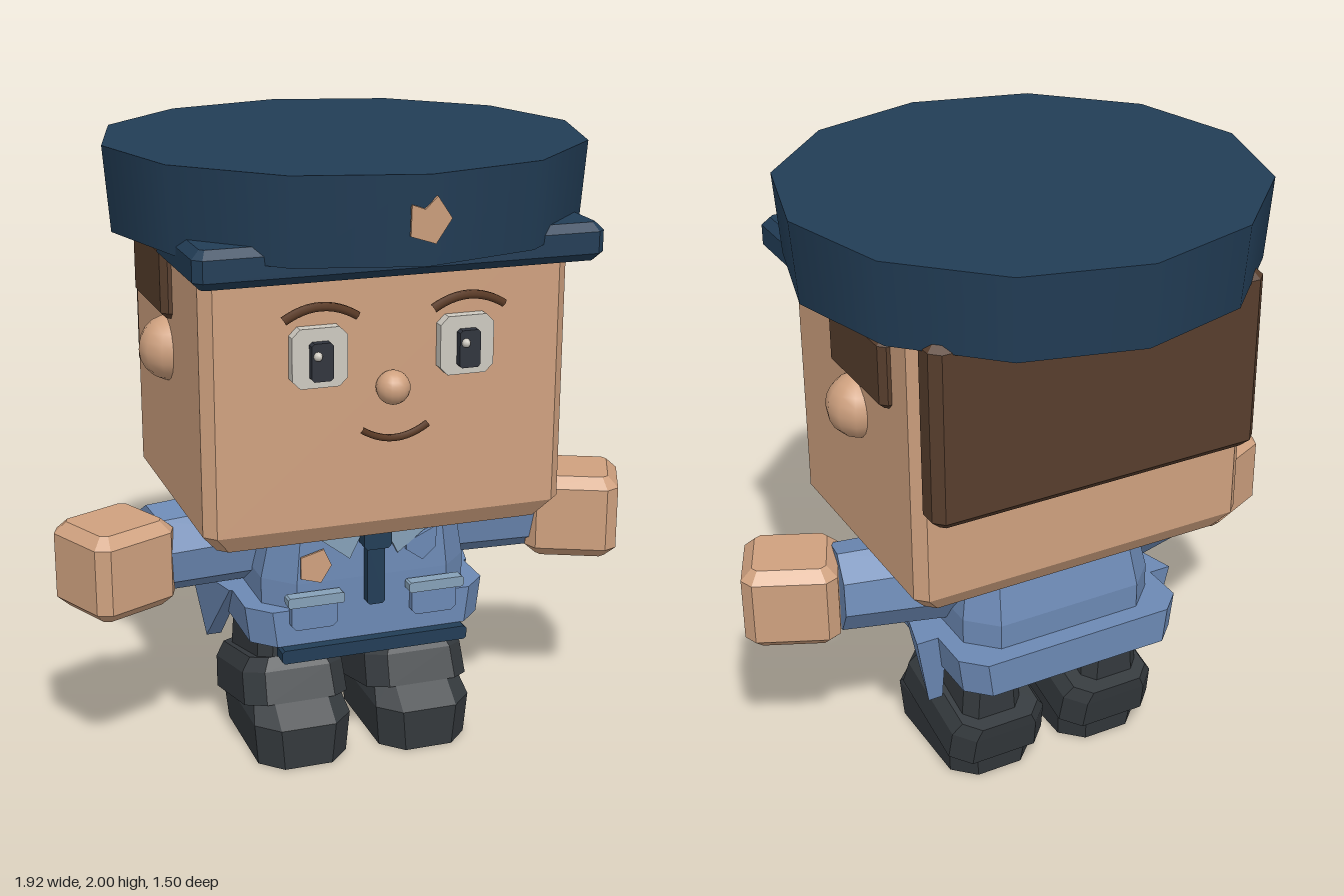
import * as THREE from 'three';
import { ConvexGeometry } from 'three/addons/geometries/ConvexGeometry.js';

const mat = (name, color) => {
  const m = new THREE.MeshStandardMaterial({ color });
  m.name = name;
  return m;
};

// Flat-faced solid stacked from chamfered rectangles: [y, halfX, zBack, zFront, chamfer]
function loft(sections) {
  const rings = sections.map(([y, x, b, f, c]) => [
    [x, f - c], [x - c, f], [c - x, f], [-x, f - c],
    [-x, b + c], [c - x, b], [x - c, b], [x, b + c],
  ].map(([px, pz]) => new THREE.Vector3(px, y, pz)));
  const tris = [];
  for (let r = 0; r < rings.length - 1; r++) {
    const a = rings[r], b = rings[r + 1];
    for (let i = 0; i < 8; i++) {
      const j = (i + 1) % 8;
      tris.push(a[i], b[i], a[j], b[i], b[j], a[j]);
    }
  }
  const bottom = rings[0], top = rings[rings.length - 1];
  for (let i = 1; i < 7; i++) {
    tris.push(bottom[0], bottom[i], bottom[i + 1], top[0], top[i + 1], top[i]);
  }
  const g = new THREE.BufferGeometry().setFromPoints(tris);
  g.computeVertexNormals();
  return g;
}

// Box with bevelled edges, centred on the origin
function bevelBox(w, h, d, e) {
  const x = w / 2, y = h / 2, z = d / 2;
  return loft([
    [-y, x - e, e - z, z - e, e / 2], [e - y, x, -z, z, e],
    [y - e, x, -z, z, e], [y, x - e, e - z, z - e, e / 2],
  ]);
}

// Plate facing +z with clipped corners
const plate = (w, h, d, c) =>
  loft([[-d / 2, w / 2, -h / 2, h / 2, c], [d / 2, w / 2, -h / 2, h / 2, c]]).rotateX(Math.PI / 2);

const cutout = (points, depth) => new THREE.ExtrudeGeometry(
  new THREE.Shape(points.map(([x, y]) => new THREE.Vector2(x, y))), { depth, bevelEnabled: false });

const arc = (w, rise, r) => new THREE.TubeGeometry(new THREE.QuadraticBezierCurve3(
  new THREE.Vector3(-w, 0, 0), new THREE.Vector3(0, rise * 2, 0), new THREE.Vector3(w, 0, 0)), 12, r, 6);

export function createModel() {
  const model = new THREE.Group();
  const skin = mat('skin', 0xcfa17f);
  const navy = mat('navy', 0x223d56);
  const shirt = mat('shirt blue', 0x6c89b4);
  const trim = mat('pale blue trim', 0x86a1b8);
  const dark = mat('charcoal', 0x34393d);
  const hair = mat('brown hair', 0x573e2d);
  const brow = mat('brow brown', 0x5a3a25);
  const white = mat('eye white', 0xcdc9c0);
  const pupil = mat('pupil', 0x30343d);

  const add = (name, geometry, material, x = 0, y = 0, z = 0) => {
    const m = new THREE.Mesh(geometry, material);
    m.name = name;
    m.position.set(x, y, z);
    model.add(m);
    return m;
  };

  // Head and hair
  add('head', loft([
    [0.83, 0.525, -0.37, 0.4, 0.03], [0.89, 0.575, -0.41, 0.44, 0.035], [1.8, 0.575, -0.41, 0.44, 0.035],
  ]), skin);
  add('backHair', bevelBox(1.11, 0.6, 0.12, 0.03), hair, 0, 1.475, -0.445);

  // Cap
  add('capCrown', new THREE.CylinderGeometry(0.75, 0.73, 0.26, 12), navy, 0, 1.87, 0);
  add('capVisor', bevelBox(1.25, 0.115, 0.465, 0.025), navy, 0, 1.733, 0.343);
  add('capBadge', cutout([
    [-0.055, 0.045], [-0.015, 0.03], [0.02, 0.065], [0.065, 0], [0.02, -0.07], [-0.055, -0.045],
  ], 0.008), skin, 0, 1.875, 0.737).rotation.x = 0.075;

  // Nose and mouth
  add('nose', new THREE.SphereGeometry(0.052, 16, 12), skin, 0, 1.317, 0.465);
  add('mouth', arc(0.105, -0.035, 0.011), brow, 0, 1.2, 0.48);

  // Torso and flared hem
  add('torso', loft([
    [0.5, 0.34, -0.32, 0.295, 0.09], [0.65, 0.34, -0.32, 0.295, 0.09], [0.86, 0.3, -0.265, 0.285, 0.07],
  ]), shirt);
  add('shirtHem', loft([[0.445, 0.385, -0.385, 0.295, 0.07], [0.565, 0.4, -0.385, 0.295, 0.07]]), shirt);

  // Belt, tie and chest details
  add('beltFront', plate(0.62, 0.045, 0.06, 0.008), navy, 0, 0.423, 0.3);
  add('beltUnderside', new THREE.BoxGeometry(0.6, 0.022, 0.09), navy, 0, 0.435, 0.235);
  add('tie', plate(0.058, 0.21, 0.035, 0.008), navy, 0, 0.67, 0.312);
  add('tieKnot', plate(0.092, 0.062, 0.05, 0.012), navy, 0, 0.787, 0.32);
  add('chestBadge', cutout([
    [-0.05, 0.035], [0.025, 0.055], [0.05, 0], [0.015, -0.055], [-0.05, -0.035],
  ], 0.008), skin, -0.19, 0.707, 0.3);
  add('radio', cutout([
    [-0.05, 0.015], [0.05, 0.06], [0.05, -0.01], [0.005, -0.05], [-0.05, -0.01],
  ], 0.015), shirt, 0.16, 0.735, 0.29);

  for (const s of [-1, 1]) {
    // Side hair and ear
    add('sideHair', bevelBox(0.07, 0.225, 0.38, 0.02), hair, s * 0.572, 1.593, -0.085);
    add('ear', new THREE.SphereGeometry(0.103, 12, 10), skin, s * 0.558, 1.37, 0.005);

    // Eye and brow
    add('eyeWhite', plate(0.17, 0.18, 0.04, 0.025), white, s * 0.23, 1.43, 0.455);
    add('pupil', plate(0.066, 0.115, 0.035, 0.008), pupil, s * 0.23, 1.423, 0.483);
    add('eyeGlint', new THREE.SphereGeometry(0.014, 8, 6), white, s * 0.23 - 0.015, 1.443, 0.503);
    add('eyebrow', arc(0.112, 0.035, 0.014), brow, s * 0.23, 1.55, 0.48);

    // Sleeve and hand, both swung forward
    const from = new THREE.Vector3(s * 0.22, 0.715, -0.05), to = new THREE.Vector3(s * 0.655, 0.725, 0.035);
    const axis = to.clone().sub(from);
    const tube = new THREE.CylinderGeometry(0.14, 0.155, axis.length(), 8).rotateY(Math.PI / 8).toNonIndexed();
    tube.computeVertexNormals();
    const mid = from.clone().add(to).multiplyScalar(0.5);
    add('sleeve', tube, shirt, mid.x, mid.y, mid.z)
      .quaternion.setFromUnitVectors(new THREE.Vector3(0, 1, 0), axis.normalize());
    add('hand', bevelBox(0.3, 0.28, 0.28, 0.035), skin, s * 0.78, 0.72, 0.095).rotation.y = -s * 0.43;

    // Collar wing and pocket
    const wing = [[0.035, 0.84], [0.2, 0.84], [0.19, 0.805], [0.08, 0.72], [0.045, 0.79]];
    add('collarWing', cutout(wing.map(([x, y]) => [s * x, y]), 0.02), trim, 0, 0, 0.287);
    add('pocket', plate(0.15, 0.1, 0.03, 0.015), shirt, s * 0.2, 0.555, 0.305);
    add('pocketFlap', plate(0.185, 0.034, 0.04, 0.006), trim, s * 0.2, 0.608, 0.322);

    // Pointed side tail of the shirt
    add('shirtTail', new ConvexGeometry([
      [0.37, 0.565, 0.08], [0.41, 0.565, 0.08], [0.37, 0.565, -0.17], [0.475, 0.565, -0.17],
      [0.38, 0.315, -0.15], [0.43, 0.315, -0.15],
    ].map(([x, y, z]) => new THREE.Vector3(s * x, y, z))), shirt);

    // Leg, slanted trouser cuff and boot
    add('leg', loft([[0.2, 0.11, -0.235, 0.15, 0.04], [0.5, 0.09, -0.235, 0.125, 0.04]]), dark, s * 0.225);
    add('trouserCuff', loft([
      [-0.075, 0.175, -0.235, 0.24, 0.06], [0.03, 0.17, -0.23, 0.225, 0.06], [0.075, 0.14, -0.225, 0.21, 0.05],
    ]), dark, s * 0.21, 0.215, -0.045).rotation.x = -0.25;
    add('boot', loft([
      [0, 0.15, -0.22, 0.275, 0.07], [0.14, 0.162, -0.24, 0.28, 0.07], [0.225, 0.14, -0.22, 0.17, 0.05],
    ]), dark, s * 0.208);
  }
  return model;
}
